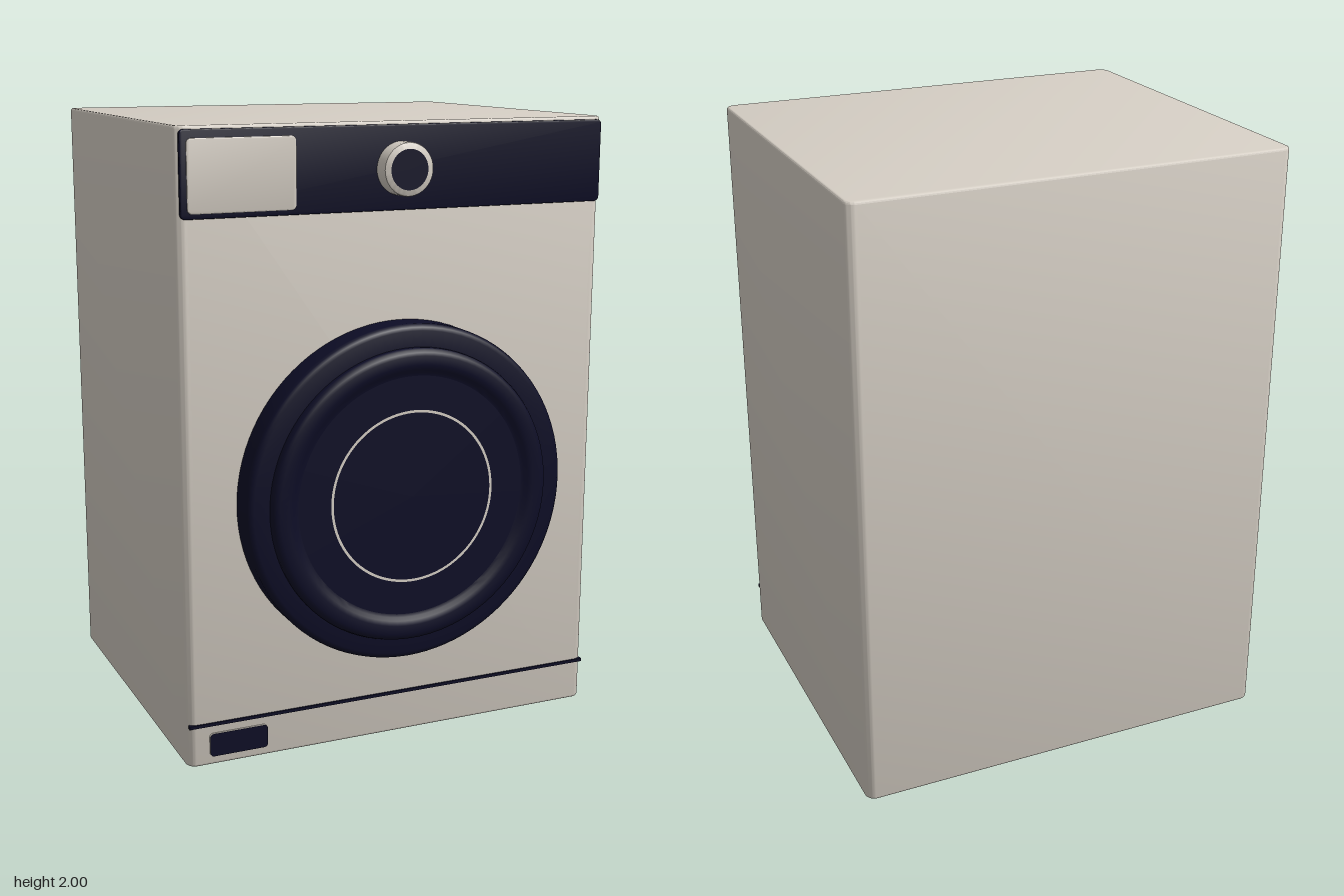
import * as THREE from 'three';
import { toCreasedNormals } from 'three/addons/utils/BufferGeometryUtils.js';

const cream = new THREE.MeshStandardMaterial({ color: 0xd6cfc5 });
cream.name = 'cream enamel';
const navy = new THREE.MeshStandardMaterial({ color: 0x0d0d26 });
navy.name = 'dark navy';

const FRONT = 0.54;

function roundedRect(w, h, r) {
  const s = new THREE.Shape(), x = w / 2, y = h / 2;
  s.absarc(x - r, y - r, r, 0, Math.PI / 2);
  s.absarc(-x + r, y - r, r, Math.PI / 2, Math.PI);
  s.absarc(-x + r, -y + r, r, Math.PI, Math.PI * 1.5);
  s.absarc(x - r, -y + r, r, Math.PI * 1.5, Math.PI * 2);
  s.closePath();
  return s;
}

// Slab with rounded outline and bevelled rims, from z = 0 to z = depth
function slab(w, h, depth, r, bevel) {
  const g = new THREE.ExtrudeGeometry(roundedRect(w - 2 * bevel, h - 2 * bevel, r), {
    depth: depth - 2 * bevel, bevelEnabled: true, bevelSize: bevel,
    bevelThickness: bevel, bevelSegments: 3, curveSegments: 8,
  });
  g.translate(0, 0, bevel);
  return toCreasedNormals(g, 0.6);
}

// Turned part whose axis points to +z; profile is [radius, z]
function turned(profile, segments = 96) {
  const g = new THREE.LatheGeometry(profile.map(([r, z]) => new THREE.Vector2(r, z)), segments);
  g.rotateX(Math.PI / 2);
  return toCreasedNormals(g, 0.6);
}

export function createModel() {
  const model = new THREE.Group();
  model.name = 'washingMachine';
  const add = (name, geometry, material, x, y, z, parent = model) => {
    const mesh = new THREE.Mesh(geometry, material);
    mesh.name = name;
    mesh.position.set(x, y, z);
    parent.add(mesh);
    return mesh;
  };

  // Cabinet: rounded plan extruded upward
  const cabinet = slab(1.41, 1.205, 1.96, 0.025, 0.008);
  cabinet.rotateX(-Math.PI / 2);
  add('cabinet', cabinet, cream, 0, 0.04, -0.0625);

  // Control panel and detergent drawer
  add('controlPanel', slab(1.39, 0.255, 0.014, 0.012, 0.003), navy, 0, 1.8625, FRONT - 0.006);
  add('detergentDrawer', slab(0.335, 0.215, 0.012, 0.012, 0.003), cream, -0.5075, 1.8575, FRONT);

  // Program knob with dark face
  const knob = new THREE.Group();
  knob.name = 'programKnob';
  knob.position.set(0, 1.86, FRONT);
  model.add(knob);
  add('knobBody', turned([[0.081, 0], [0.081, 0.055], [0.079, 0.061], [0.074, 0.064], [0, 0.064]], 48),
    cream, 0, 0, 0, knob);
  add('knobFace', new THREE.CircleGeometry(0.061, 48), navy, 0, 0, 0.0655, knob);

  // Door: outer frame, raised rim and slightly sunken window
  const door = new THREE.Group();
  door.name = 'door';
  door.position.set(0, 0.865, FRONT);
  model.add(door);
  add('doorFrame', turned([[0.535, -0.01], [0.535, 0.075], [0.532, 0.085], [0.525, 0.092],
    [0.515, 0.095], [0.45, 0.095]]), navy, 0, 0, 0, door);
  add('doorRim', turned([[0.465, 0.09], [0.465, 0.107], [0.461, 0.117], [0.453, 0.123], [0.443, 0.126],
    [0.415, 0.126], [0.4, 0.122], [0.39, 0.114], [0.38, 0.112]]), navy, 0, 0, 0, door);
  add('doorWindow', new THREE.CircleGeometry(0.39, 96), navy, 0, 0, 0.112, door);
  add('windowRing', new THREE.RingGeometry(0.266, 0.274, 96), cream, 0, 0, 0.114, door);

  // Plinth seam and filter hatch
  add('plinthSeam', new THREE.BoxGeometry(1.4, 0.01, 0.015), navy, 0, 0.175, FRONT - 0.002);
  add('hatchFrame', slab(0.19, 0.075, 0.008, 0.01, 0.002), cream, -0.54, 0.1075, FRONT - 0.001);
  add('filterHatch', new THREE.ShapeGeometry(roundedRect(0.19, 0.075, 0.012)), navy, -0.54, 0.1075, FRONT + 0.0085);

  // Feet
  for (const x of [-0.575, 0.575]) {
    for (const z of [-0.527, 0.4]) {
      add('foot', new THREE.CylinderGeometry(0.05, 0.05, 0.045, 32), navy, x, 0.0225, z);
    }
  }
  return model;
}
